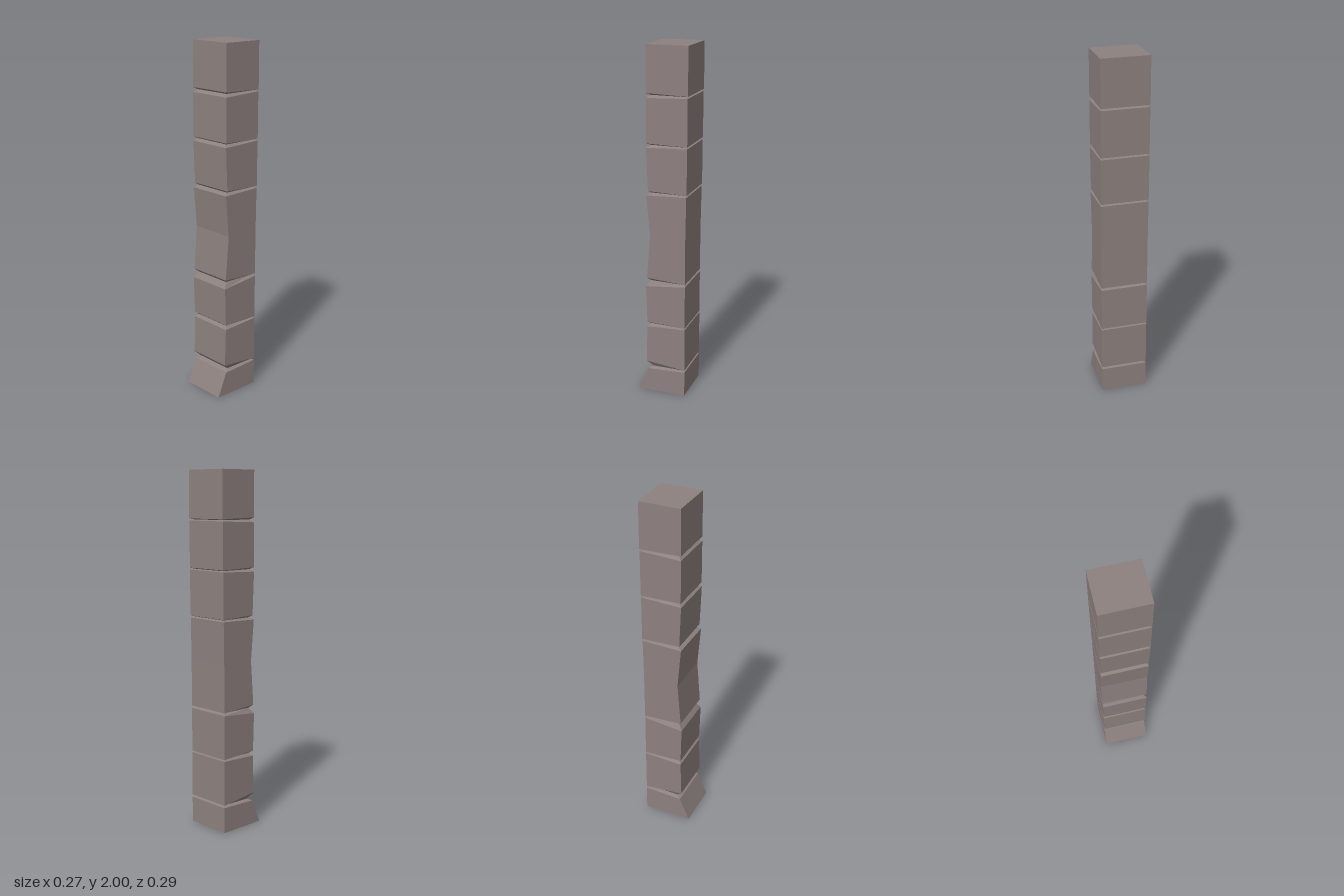
import * as THREE from 'three';

const HALF = 0.133, NECK = 0.113;

// Rings from bottom to top: half width, front y, front z, back y, back z
const block = (...ends) => ends.map((e) => [HALF, ...e]);
const neck = (fy, fz, by, bz) => [[NECK, fy, fz, by, bz]];

const rings = [
  // flared foot, open underneath
  ...block([0, 0.145, 0, -0.135], [0.138, 0.087, 0.147, -0.135]),
  ...neck(0.15, 0.06, 0.154, -0.118),
  // lower blocks
  ...block([0.185, 0.096, 0.161, -0.135], [0.405, 0.09, 0.415, -0.135]),
  ...neck(0.42, 0.072, 0.42, -0.118),
  ...block([0.434, 0.09, 0.425, -0.135], [0.652, 0.096, 0.675, -0.135]),
  ...neck(0.685, 0.072, 0.685, -0.118),
  // long bent middle block
  ...block([0.703, 0.09, 0.69, -0.135], [0.955, 0.07, 0.955, -0.136], [1.187, 0.09, 1.194, -0.14]),
  ...neck(1.2, 0.065, 1.2, -0.122),
  // upper blocks
  ...block([1.212, 0.08, 1.206, -0.142], [1.452, 0.09, 1.461, -0.143]),
  ...neck(1.466, 0.07, 1.466, -0.125),
  ...block([1.476, 0.088, 1.472, -0.144], [1.72, 0.088, 1.729, -0.145]),
  ...neck(1.735, 0.07, 1.735, -0.127),
  ...block([1.746, 0.088, 1.74, -0.147], [2, 0.087, 2, -0.147]),
];

// Rectangular loft through the rings, closed at the top
function loft(list) {
  const pos = [], idx = [];
  for (const [w, fy, fz, by, bz] of list) {
    pos.push(-w, fy, fz, w, fy, fz, w, by, bz, -w, by, bz);
  }
  for (let r = 0; r < list.length - 1; r++) {
    for (let k = 0; k < 4; k++) {
      const a = r * 4 + k, b = r * 4 + ((k + 1) % 4);
      idx.push(a, b, b + 4, a, b + 4, a + 4);
    }
  }
  const t = (list.length - 1) * 4;
  idx.push(t, t + 1, t + 2, t, t + 2, t + 3);
  const indexed = new THREE.BufferGeometry();
  indexed.setAttribute('position', new THREE.Float32BufferAttribute(pos, 3));
  indexed.setIndex(idx);
  const g = indexed.toNonIndexed();
  g.computeVertexNormals();
  return g;
}

export function createModel() {
  const group = new THREE.Group();
  group.name = 'stonePillar';
  const stone = new THREE.MeshStandardMaterial({
    color: 0x8d817f, flatShading: true, side: THREE.DoubleSide,
  });
  const shaft = new THREE.Mesh(loft(rings), stone);
  shaft.name = 'pillarBlocks';
  group.add(shaft);
  return group;
}
